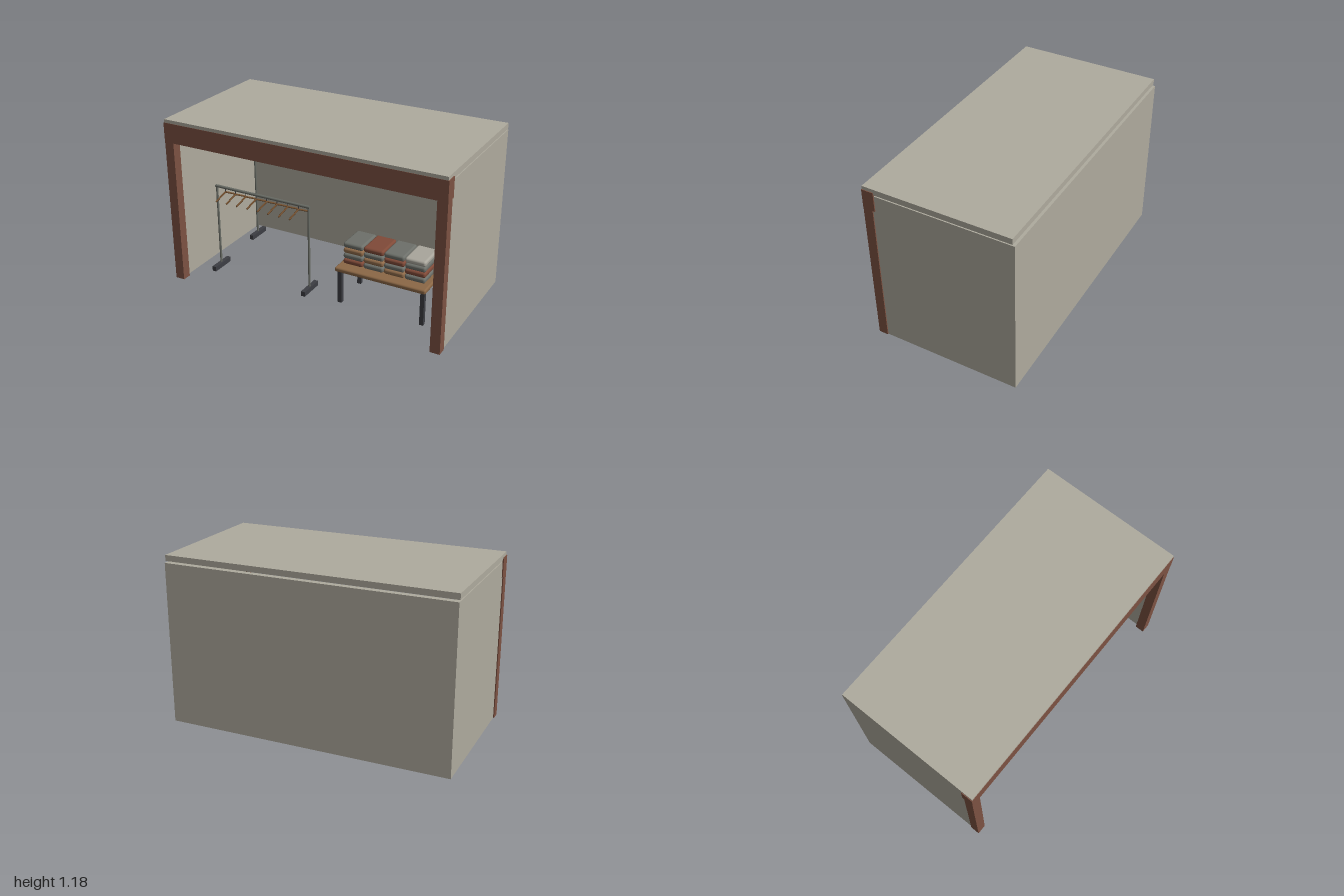
import * as THREE from 'three';
import { RoundedBoxGeometry } from 'three/addons/geometries/RoundedBoxGeometry.js';

const mat = (name, color, side = THREE.FrontSide) => {
  const m = new THREE.MeshStandardMaterial({ color, side });
  m.name = name;
  return m;
};

export function createModel() {
  const plaster = mat('warm grey plaster', 0xafab9e, THREE.DoubleSide);
  const terracotta = mat('terracotta', 0x7d5242);
  const steel = mat('grey steel', 0x6a6d66);
  const dark = mat('dark metal', 0x3d3e43);
  const wood = mat('table wood', 0x8c6846);
  const hangerWood = mat('hanger wood', 0x74502f);
  const greyCloth = mat('grey cloth', 0x6d706a);
  const redCloth = mat('red cloth', 0x804a38);
  const tanCloth = mat('tan cloth', 0x8f6b4a);
  const paleCloth = mat('pale cloth', 0xa9a69c);

  const model = new THREE.Group();
  const add = (parent, name, geo, material, x = 0, y = 0, z = 0) => {
    const mesh = new THREE.Mesh(geo, material);
    mesh.name = name;
    mesh.position.set(x, y, z);
    parent.add(mesh);
    return mesh;
  };
  const box = (parent, name, material, w, h, d, x, y, z) =>
    add(parent, name, new THREE.BoxGeometry(w, h, d), material, x, y, z);
  const group = (name, parent = model) => {
    const g = new THREE.Group();
    g.name = name;
    parent.add(g);
    return g;
  };

  // Shell: three walls, a raised roof slab and the framed opening
  box(model, 'backWall', plaster, 1.986, 1.127, 0.04, 0, 0.5635, -0.49);
  box(model, 'roof', plaster, 1.99, 0.04, 1.007, 0, 1.157, 0.0065);
  for (const s of [-1, 1]) {
    box(model, 'sideWall', plaster, 0.04, 1.127, 0.95, s * 0.973, 0.5635, 0.005);
    box(model, 'doorPillar', terracotta, 0.067, 1.02, 0.065, s * 0.9665, 0.51, 0.478);
  }
  box(model, 'doorHeader', terracotta, 2, 0.135, 0.082, 0, 1.0865, 0.471);
  box(model, 'ceilingTrack', dark, 1.6, 0.025, 0.07, 0, 1.1255, 0.1);

  // Clothes rail: two posts on feet with a bar across
  const rail = (name, x0, x1, height, z) => {
    const g = group(name);
    for (const x of [x0, x1]) {
      add(g, 'post', new THREE.CylinderGeometry(0.008, 0.008, height, 12), steel, x, height / 2, z);
      box(g, 'foot', dark, 0.03, 0.035, 0.18, x, 0.0175, z);
    }
    const bar = add(g, 'bar', new THREE.CylinderGeometry(0.01, 0.01, x1 - x0 + 0.018, 12),
      steel, (x0 + x1) / 2, height, z);
    bar.rotation.z = Math.PI / 2;
    return g;
  };

  // Hanger: short stem and two sloping wooden arms, origin at the bar
  const hanger = (parent, x, y, z, turn) => {
    const g = group('hanger', parent);
    g.position.set(x, y, z);
    g.rotation.y = turn;
    add(g, 'hook', new THREE.CylinderGeometry(0.003, 0.003, 0.035, 6), dark, 0, -0.0175, 0);
    for (const s of [-1, 1]) {
      const arm = add(g, 'arm', new THREE.CylinderGeometry(0.006, 0.006, 0.1, 8),
        hangerWood, s * 0.044, -0.054, 0);
      arm.rotation.z = s * 1.1;
    }
    return g;
  };

  // Collar flap beside the hanger's centre line
  const flap = (s) => {
    const pts = [[0, -0.06], [s * 0.078, -0.078], [s * 0.04, -0.182]];
    return new THREE.ShapeGeometry(new THREE.Shape(pts.map(p => new THREE.Vector2(...p))));
  };

  // Tall rear rail with five front-facing hangers
  const rear = rail('rearRail', -0.858, 0.858, 0.903, -0.32);
  for (let i = 0; i < 5; i++) {
    const h = hanger(rear, -0.632 + i * 0.317, 0.903, -0.32, 0);
    for (const s of [-1, 1]) add(h, 'collarFlap', flap(s), plaster, 0, 0, 0);
    for (const y of [-0.205, -0.262])
      add(h, 'button', new THREE.SphereGeometry(0.005, 8, 6), dark, 0, y, 0);
  }

  // Low front rail with eight hangers turned nearly sideways
  const front = rail('frontRail', -0.817, -0.084, 0.63, 0.22);
  for (let i = 0; i < 8; i++) hanger(front, -0.747 + i * 0.0838, 0.63, 0.22, 1.33);

  // Display table
  const table = group('displayTable');
  add(table, 'tableTop', new RoundedBoxGeometry(0.65, 0.033, 0.35, 3, 0.012), wood, 0.465, 0.2515, 0.1);
  for (const x of [0.17, 0.765])
    for (const z of [-0.04, 0.245])
      box(table, 'tableLeg', dark, 0.028, 0.237, 0.028, x, 0.1185, z);

  // Four stacks of folded clothes, colours running diagonally
  const cloths = [redCloth, greyCloth, tanCloth, greyCloth, redCloth, greyCloth, paleCloth];
  const stacks = group('foldedClothes');
  const fold = new RoundedBoxGeometry(0.144, 0.038, 0.21, 3, 0.015);
  for (let c = 0; c < 4; c++)
    for (let r = 0; r < 4; r++)
      add(stacks, 'foldedGarment', fold, cloths[c + r], 0.238 + c * 0.1485, 0.288 + r * 0.04, 0.1);

  return model;
}
